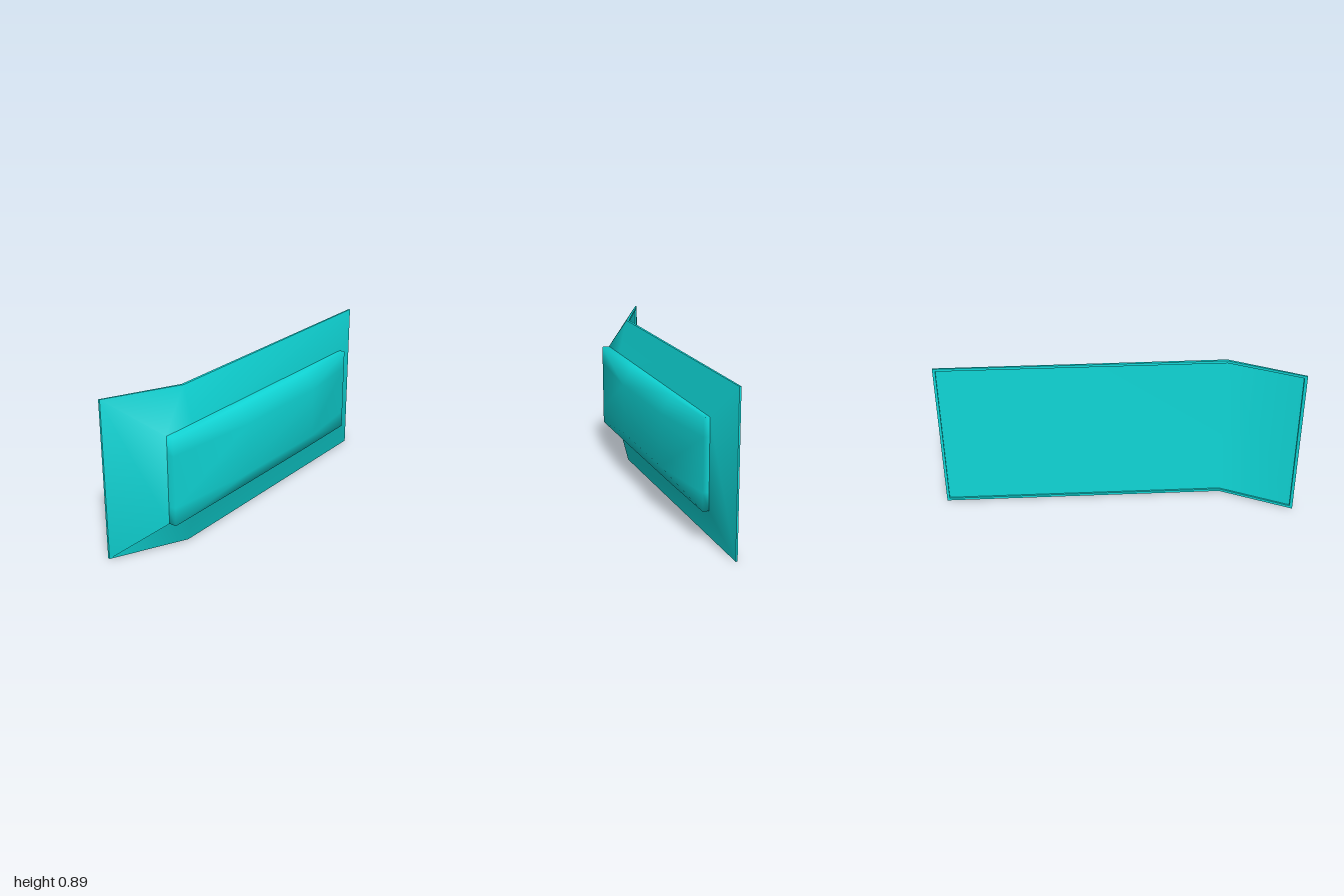
import * as THREE from 'three';

const H = 0.89;
const material = new THREE.MeshStandardMaterial({ color: 0x0fd8d8 });

// Mesh with shared vertices and smooth normals
function makeMesh(name, points, faces) {
  const g = new THREE.BufferGeometry();
  g.setAttribute('position', new THREE.Float32BufferAttribute(points.flat(), 3));
  g.setIndex(faces.flat());
  g.computeVertexNormals();
  const mesh = new THREE.Mesh(g, material);
  mesh.name = name;
  return mesh;
}

const quad = (a, b, c, d) => [a, b, c, a, c, d];

// Closed band between two loops; order them so faces point outwards.
// sharp gives every segment its own vertices.
function band(name, outer, inner, sharp = false) {
  const n = outer.length, points = [], faces = [];
  if (!sharp) points.push(...outer, ...inner);
  for (let i = 0; i < n; i++) {
    const j = (i + 1) % n;
    if (sharp) {
      points.push(outer[i], outer[j], inner[j], inner[i]);
      faces.push(quad(4 * i, 4 * i + 1, 4 * i + 2, 4 * i + 3));
    } else faces.push(quad(i, j, n + j, n + i));
  }
  return makeMesh(name, points, faces);
}

// Six-point loop bent at the middle: x and z per station, bottom then top
function loop(xs, zs, y0, y1) {
  return [
    ...[0, 1, 2].map(i => [xs[i], y0, zs[i]]),
    ...[2, 1, 0].map(i => [xs[i], y1, zs[i]]),
  ];
}

export function createModel() {
  const group = new THREE.Group();
  group.name = 'bentPlate';

  const zs = [1, 0.6, -1], lipZ = [0.985, 0.6, -0.985];
  const front = loop([-0.165, 0.03, 0.02], zs, 0, H);
  const back = loop([-0.175, 0.015, 0.01], zs, 0, H);
  const lip = loop([-0.167, 0.015, 0.01], lipZ, 0.015, H - 0.015);
  const floor = loop([-0.157, 0.025, 0.02], lipZ, 0.015, H - 0.015);
  const inner = loop([0.08, 0.08, 0.08], [0.8, 0.6, -0.8], 0.2, 0.69);

  // Sloped surround, thin rim and recessed back
  group.add(band('slopedFrame', front, inner));
  group.add(band('rimEdge', back, front, true));
  group.add(band('backLip', lip, back, true));
  group.add(band('recessWall', floor, lip, true));
  group.add(makeMesh('backFloor', floor, [quad(0, 5, 4, 1), quad(1, 4, 3, 2)]));

  // Raised panel: 4 x 4 grid with a higher flat centre
  const gz = [0.8, 0.25, -0.37, -0.8], gy = [0.2, 0.3, 0.59, 0.69];
  const edgeX = [0.123, 0.123, 0.12, 0.113];
  const points = [], faces = [];
  const mid = k => k === 1 || k === 2;
  for (let j = 0; j < 4; j++)
    for (let i = 0; i < 4; i++)
      points.push([mid(i) && mid(j) ? 0.173 : edgeX[i], gy[j], gz[i]]);
  for (let j = 0; j < 3; j++)
    for (let i = 0; i < 3; i++) {
      const a = j * 4 + i;
      // Corner cells split along the ridge diagonals
      if ((i === 0 && j === 2) || (i === 2 && j === 0)) faces.push(quad(a + 1, a + 5, a + 4, a));
      else faces.push(quad(a, a + 1, a + 5, a + 4));
    }
  // Panel side walls down to the frame
  const border = [0, 1, 2, 3, 7, 11, 15, 14, 13, 12, 8, 4];
  border.forEach(k => points.push([0.078, points[k][1], points[k][2]]));
  border.forEach((k, i) => {
    const n = (i + 1) % border.length;
    faces.push(quad(16 + i, 16 + n, border[n], k));
  });
  group.add(makeMesh('raisedPanel', points, faces));

  return group;
}
